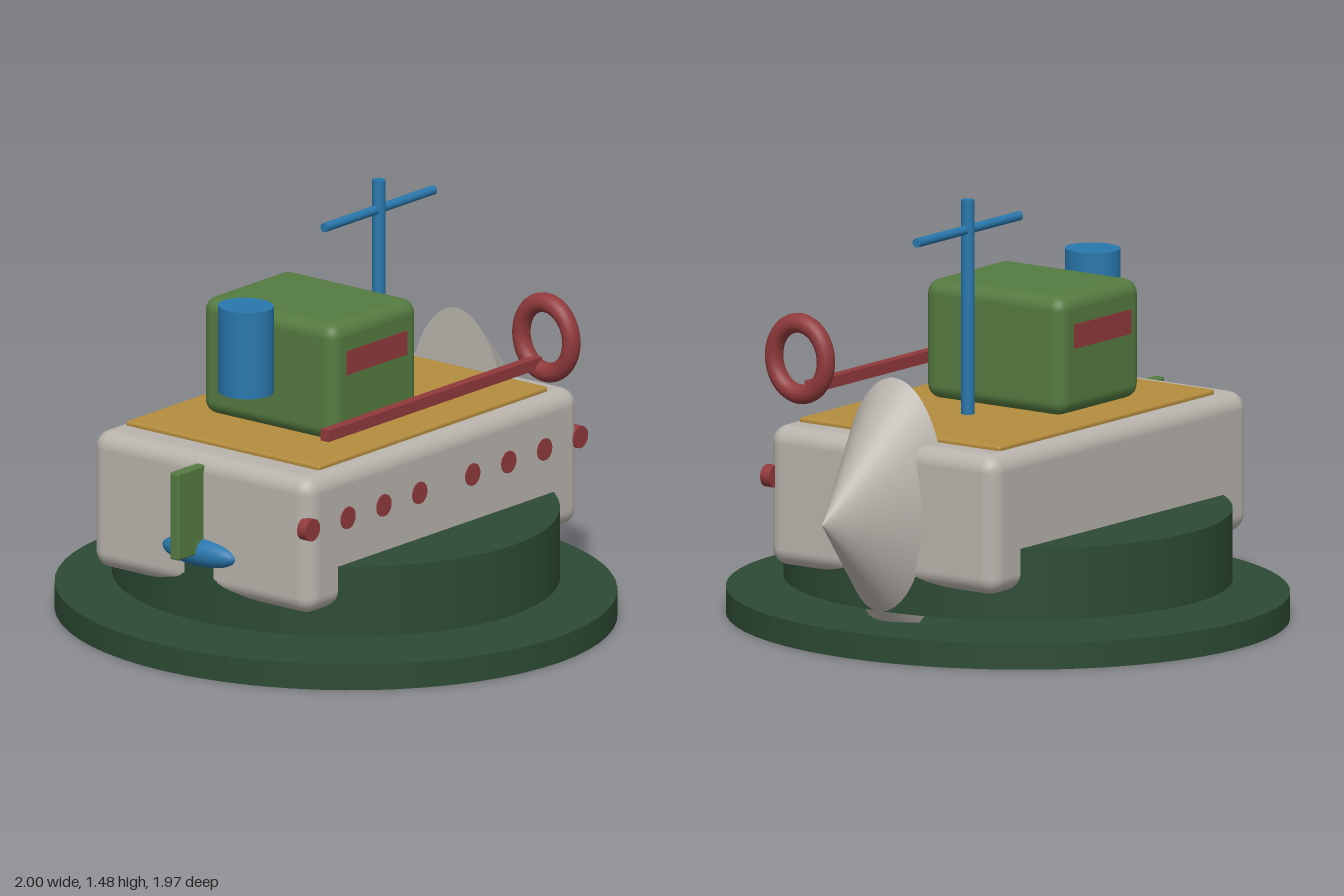
import * as THREE from 'three';
import { RoundedBoxGeometry } from 'three/addons/geometries/RoundedBoxGeometry.js';

const material = (name, color) => {
  const m = new THREE.MeshStandardMaterial({ color });
  m.name = name;
  return m;
};

export function createModel() {
  const model = new THREE.Group();
  model.name = 'toyBoat';
  const grey = material('hullGrey', 0xb8b3ac);
  const ochre = material('deckOchre', 0xb48c3e);
  const green = material('cabinGreen', 0x557b40);
  const darkGreen = material('standGreen', 0x2d4b35);
  const red = material('trimRed', 0x913a3c);
  const blue = material('mastBlue', 0x2977ac);

  const add = (name, geometry, mat, x, y, z) => {
    const mesh = new THREE.Mesh(geometry, mat);
    mesh.name = name;
    mesh.position.set(x, y, z);
    model.add(mesh);
    return mesh;
  };
  // Upright elliptical cylinder between two heights
  const drum = (name, mat, x, rx, rz, y0, y1) =>
    add(name, new THREE.CylinderGeometry(1, 1, y1 - y0, 64).scale(rx, 1, rz), mat, x, (y0 + y1) / 2, 0);

  // Two-tier oval stand
  drum('standBase', darkGreen, -0.07, 0.93, 0.983, 0, 0.092);
  drum('standDrum', darkGreen, -0.07, 0.74, 0.783, 0.133, 0.382);

  // Hull, flattened bow cone and deck
  add('hull', new RoundedBoxGeometry(1.47, 0.487, 0.97, 5, 0.06), grey, -0.072, 0.478, 0);
  const bow = new THREE.ConeGeometry(1, 0.415, 64).rotateZ(-Math.PI / 2).scale(1, 0.448, 0.222);
  add('bow', bow, grey, 0.7875, 0.483, 0);
  add('deck', new RoundedBoxGeometry(1.235, 0.05, 0.855, 2, 0.01), ochre, -0.065, 0.713, 0);

  // Cabin with a window strip on each side
  add('cabin', new RoundedBoxGeometry(0.465, 0.415, 0.592, 5, 0.05), green, -0.21, 0.942, 0);
  for (const side of [-1, 1]) {
    add('cabinWindow', new THREE.BoxGeometry(0.325, 0.085, 0.008), red, -0.212, 1.008, side * 0.295);
  }

  // Funnel, mast and yard
  drum('funnel', blue, -0.555, 0.091, 0.098, 0.893, 1.2);
  drum('mast', blue, 0.16, 0.022, 0.023, 0.72, 1.484);
  add('yard', new THREE.CylinderGeometry(0.016, 0.016, 0.59, 24).rotateZ(Math.PI / 2), blue, 0.16, 1.38, 0);

  // Rail and life ring on the left side
  add('rail', new THREE.BoxGeometry(1.15, 0.04, 0.036), red, -0.07, 0.836, 0.421);
  const ring = new THREE.TorusGeometry(0.124, 0.034, 20, 48).rotateY(Math.PI / 2).scale(1, 1, 0.89);
  add('lifeRing', ring, red, 0.502, 0.93, 0.46);

  // Portholes along the left side
  for (const x of [-0.79, -0.598, -0.405, -0.212, 0.073, 0.267, 0.46, 0.653]) {
    add('porthole', new THREE.CylinderGeometry(0.039, 0.039, 0.038, 32).rotateX(Math.PI / 2), red, x, 0.545, 0.47);
  }

  // Rudder and propeller at the stern
  add('rudder', new RoundedBoxGeometry(0.16, 0.31, 0.04, 2, 0.007), green, -0.862, 0.536, 0);
  add('propeller', new THREE.SphereGeometry(1, 32, 20).scale(0.05, 0.05, 0.16), blue, -0.803, 0.38, 0);

  return model;
}
